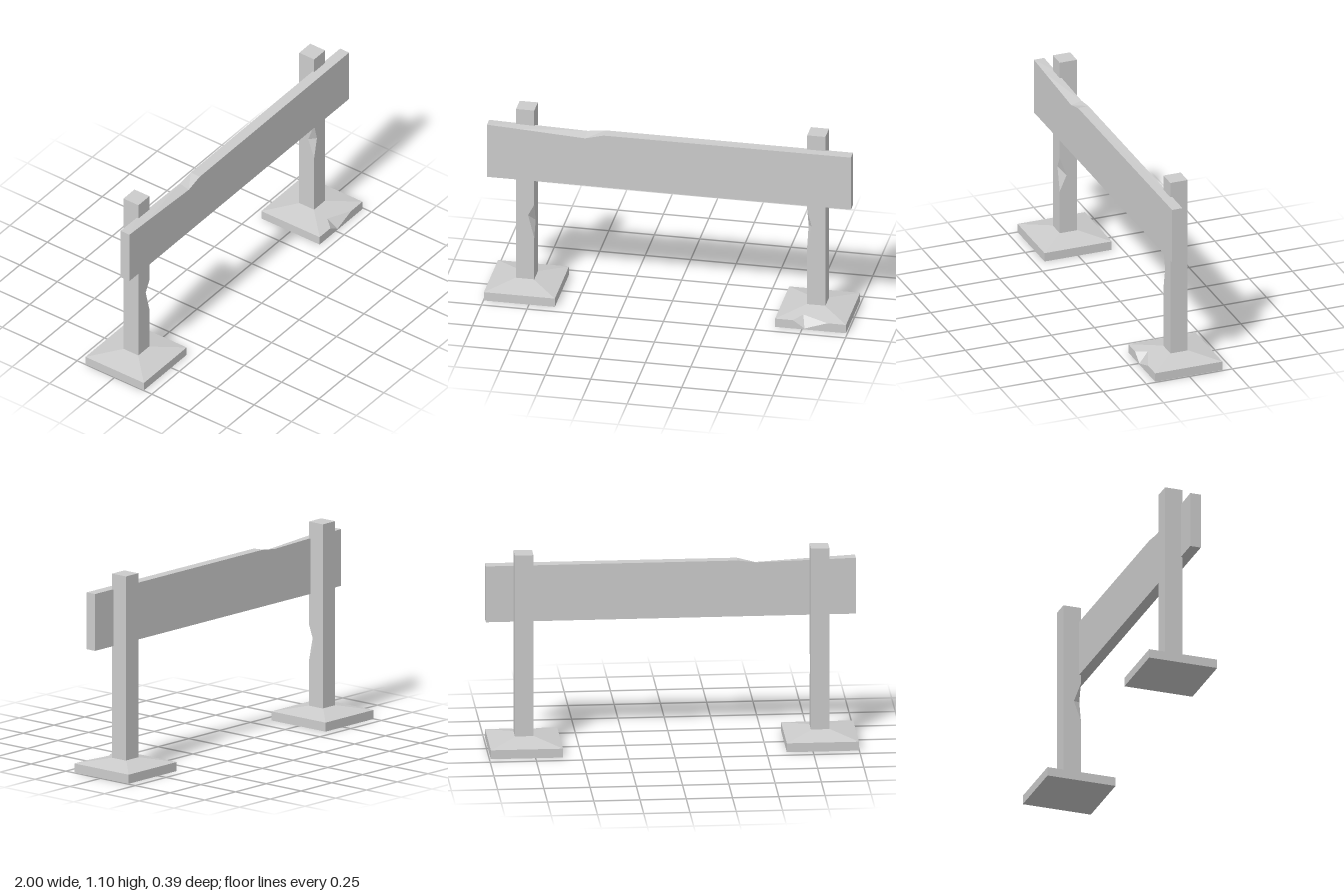
import * as THREE from 'three';

const V = (x, y, z) => new THREE.Vector3(x, y, z);

// Solid from flat polygons (concave allowed), each turned to face away from the centre
function solid(name, center, faces) {
  const pos = [];
  for (let pts of faces) {
    const n = V(0, 0, 0), mid = V(0, 0, 0);
    pts.forEach((p, i) => {
      n.add(p.clone().cross(pts[(i + 1) % pts.length]));
      mid.addScaledVector(p, 1 / pts.length);
    });
    n.normalize();
    if (n.dot(mid.sub(center)) < 0) {
      pts = [...pts].reverse();
      n.negate();
    }
    const u = pts[1].clone().sub(pts[0]).projectOnPlane(n).normalize();
    const v = n.clone().cross(u);
    const flat = pts.map(p => new THREE.Vector2(p.dot(u), p.dot(v)));
    for (const tri of THREE.ShapeUtils.triangulateShape(flat, []))
      for (const i of tri) pos.push(...pts[i].toArray());
  }
  const geo = new THREE.BufferGeometry();
  geo.setAttribute('position', new THREE.Float32BufferAttribute(pos, 3));
  geo.computeVertexNormals();
  const mesh = new THREE.Mesh(geo, new THREE.MeshStandardMaterial({ color: 0xcccccc, flatShading: true }));
  mesh.name = name;
  return mesh;
}

// Square post with a splinter missing from its inner front edge (inner = side of that edge)
function post(name, inner, { top, bottom, frontY, frontIn, sideY, sideIn }) {
  const h = 0.05, y0 = 0.07, y1 = 1.1, i = inner * h;
  const T = V(i, top, h), B = V(i, bottom, h);
  const F = V(i - inner * frontIn, frontY, h), S = V(i, sideY, h - sideIn);
  const ring = y => [V(i, y, h), V(-i, y, h), V(-i, y, -h), V(i, y, -h)];
  const lo = ring(y0), hi = ring(y1);
  return solid(name, V(0, 0.59, 0), [
    lo, hi,
    [lo[0], B, F, T, hi[0], hi[1], lo[1]],
    [lo[0], B, S, T, hi[0], hi[3], lo[3]],
    [lo[1], lo[2], hi[2], hi[1]],
    [lo[2], lo[3], hi[3], hi[2]],
    [T, F, S], [B, F, S],
  ]);
}

// Low plinth with a sloped top, optionally chipped at its front edge
function foot(name, chipped) {
  const w = 0.195, t = 0.05, yEdge = 0.05, yTop = 0.08;
  const ring = (r, y) => [V(-r, y, r), V(r, y, r), V(r, y, -r), V(-r, y, -r)];
  const a = ring(w, 0), b = ring(w, yEdge), c = ring(t, yTop);
  const faces = [a, c];
  for (let k = 0; k < 4; k++) {
    const j = (k + 1) % 4;
    if (k === 0 && chipped) {
      const L = V(-0.097, yEdge, w), R = V(0.093, yEdge, w);
      const Q = V(-0.05, yEdge + 0.03 * 0.055 / 0.145, 0.14), S = V(-0.033, 0.006, w);
      faces.push([a[0], a[1], b[1], R, S, L, b[0]]);
      faces.push([b[0], L, Q, R, b[1], c[1], c[0]]);
      faces.push([L, S, Q], [S, R, Q]);
    } else {
      faces.push([a[k], a[j], b[j], b[k]], [b[k], b[j], c[j], c[k]]);
    }
  }
  return solid(name, V(0, 0.03, 0), faces);
}

// Long plank whose top edge is worn; rows are x, front height, back height
function plank() {
  const y0 = 0.7, zf = 0.1, zb = 0.04;
  const rows = [
    [-1, 1.015, 1.015], [-0.84, 1.007, 1.011], [-0.46, 0.986, 1.002],
    [-0.36, 1.013, 1.015], [1, 1.015, 1.015],
  ];
  const front = rows.map(([x, f]) => V(x, f, zf));
  const back = rows.map(([x, , b]) => V(x, b, zb));
  const base = [V(-1, y0, zf), V(1, y0, zf), V(1, y0, zb), V(-1, y0, zb)];
  const n = rows.length - 1;
  const faces = [
    base,
    [base[0], base[1], ...[...front].reverse()],
    [base[3], base[2], ...[...back].reverse()],
    [base[0], front[0], back[0], base[3]],
    [base[1], front[n], back[n], base[2]],
  ];
  for (let i = 0; i < n; i++)
    faces.push([front[i], front[i + 1], back[i + 1]], [front[i], back[i + 1], back[i]]);
  return solid('plank', V(0, 0.85, 0.07), faces);
}

export function createModel() {
  const model = new THREE.Group();
  model.name = 'barrier';

  const leftPost = post('leftPost', -1,
    { top: 0.65, bottom: 0.43, frontY: 0.55, frontIn: 0.025, sideY: 0.54, sideIn: 0.04 });
  const rightPost = post('rightPost', 1,
    { top: 0.53, bottom: 0.33, frontY: 0.465, frontIn: 0.034, sideY: 0.42, sideIn: 0.04 });
  leftPost.position.x = 0.8;
  rightPost.position.x = -0.8;

  const leftFoot = foot('leftFoot', true);
  const rightFoot = foot('rightFoot', false);
  leftFoot.position.x = 0.797;
  rightFoot.position.x = -0.803;

  model.add(plank(), leftPost, rightPost, leftFoot, rightFoot);
  return model;
}
